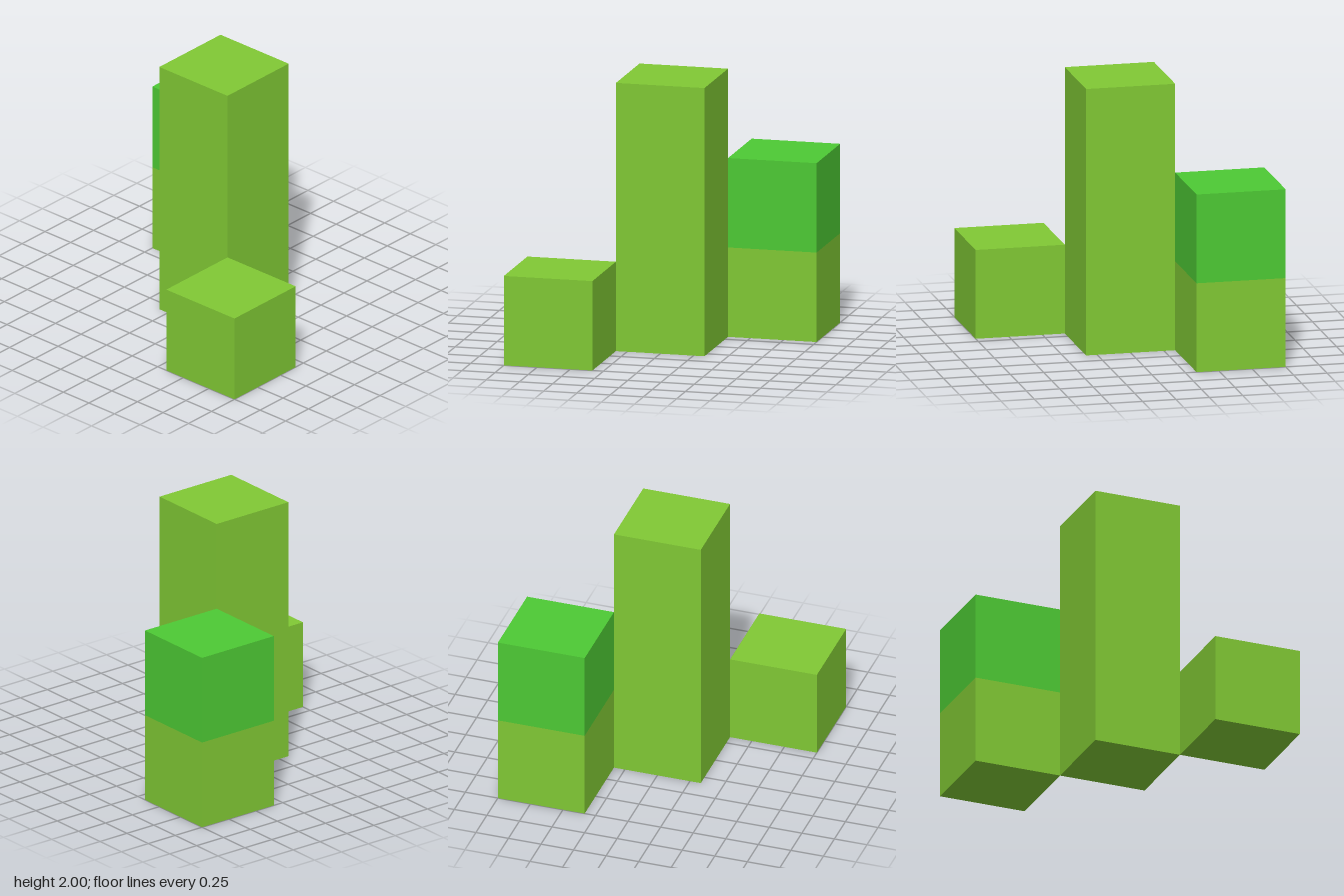
import * as THREE from 'three';

const S = 2 / 3; // edge of one cube unit

export function createModel() {
  const group = new THREE.Group();
  const lime = new THREE.MeshStandardMaterial({ color: 0x80c834 });
  lime.name = 'lime green';
  const green = new THREE.MeshStandardMaterial({ color: 0x4dc934 });
  green.name = 'bright green';

  // Square column standing on the ground, placed on the diagonal grid
  function column(name, cell, units, material) {
    const geometry = new THREE.BoxGeometry(S, S * units, S, 1, units, 1);
    const mesh = new THREE.Mesh(geometry, material);
    mesh.name = name;
    mesh.position.set(cell * S, (S * units) / 2, cell * S);
    group.add(mesh);
    return mesh;
  }

  column('frontBlock', 1, 1, lime);
  column('tallColumn', 0, 3, lime);

  // Two-unit column: lower half lime, upper half and top bright green
  const { geometry } = column('backColumn', -1, 2, [lime, green]);
  const faces = geometry.groups.map((g) => ({ ...g }));
  geometry.clearGroups();
  faces.forEach(({ start, count }, side) => {
    if (side === 2) geometry.addGroup(start, count, 1); // top
    else if (side === 3) geometry.addGroup(start, count, 0); // bottom
    else {
      geometry.addGroup(start, count / 2, 1); // upper row
      geometry.addGroup(start + count / 2, count / 2, 0); // lower row
    }
  });

  return group;
}
